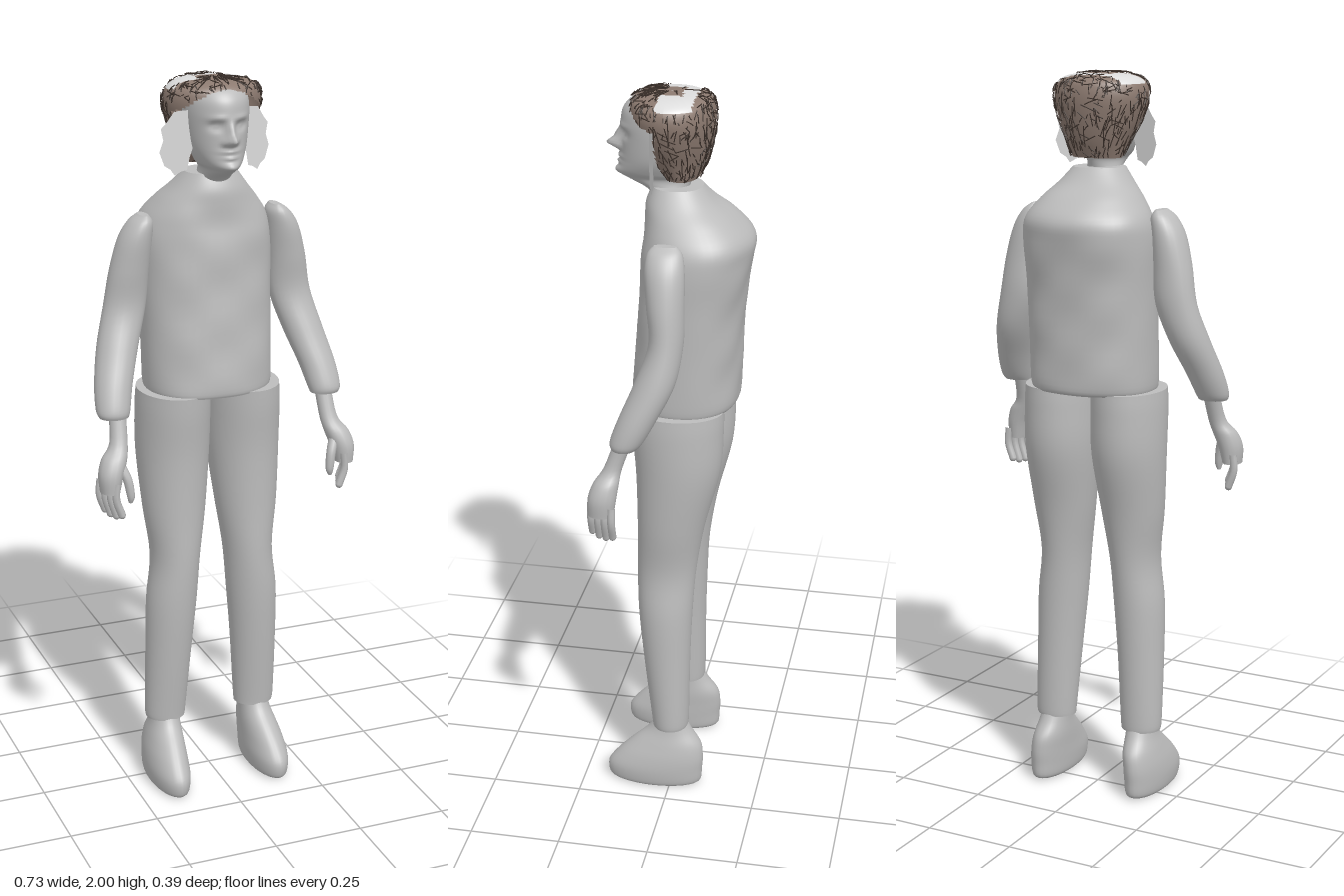
import * as THREE from 'three';
import { mergeGeometries } from 'three/addons/utils/BufferGeometryUtils.js';

const mat = (name, color, side = THREE.FrontSide) => {
  const m = new THREE.MeshStandardMaterial({ color, side });
  m.name = name;
  return m;
};

let seed = 7;
const rand = () => (seed = (seed * 16807) % 2147483647) / 2147483647;
const bump = (d, w) => Math.exp(-(d * d) / (w * w));

// Smoothly interpolated cross-section rows [y, centreX, radiusX, centreZ, radiusZ]
function sampler(rows) {
  const n = rows.length - 1;
  return (v) => {
    const i = Math.min(Math.floor(v * n), n - 1), t = v * n - i;
    const at = (k) => rows[Math.max(0, Math.min(n, k))];
    return rows[0].map((_, c) => {
      const [p, q, r, s] = [at(i - 1)[c], at(i)[c], at(i + 1)[c], at(i + 2)[c]];
      return q + 0.5 * t * (r - p + t * (2 * p - 5 * q + 4 * r - s + t * (3 * (q - r) + s - p)));
    });
  };
}
function ringPoint([y, cx, rx, cz, rz], a, power = 1) {
  const f = (w) => Math.sign(w) * Math.pow(Math.abs(w), power);
  return [cx + rx * f(Math.cos(a)), y, cz + rz * f(Math.sin(a))];
}

// Closed body through the rows, with flat ends and an optional sculpting rule
function loft(rows, { seg = 32, steps = 5, power = 1, sculpt } = {}) {
  const at = sampler(rows), m = (rows.length - 1) * steps, pos = [], idx = [];
  for (let i = 0; i <= m; i++) {
    const row = at(i / m);
    for (let j = 0; j < seg; j++) {
      const p = ringPoint(row, (j / seg) * Math.PI * 2, power);
      pos.push(...(sculpt ? sculpt(p) : p));
    }
  }
  for (let i = 0; i < m; i++) for (let j = 0; j < seg; j++) {
    const k = (j + 1) % seg, a = i * seg + j, b = i * seg + k;
    idx.push(a, a + seg, b, b, a + seg, b + seg);
  }
  for (const [i, top] of [[0, false], [m, true]]) {
    const start = pos.length / 3, [y, cx, , cz] = at(i / m);
    pos.push(...pos.slice(i * seg * 3, (i + 1) * seg * 3), cx, y, cz);
    for (let j = 0; j < seg; j++) {
      const a = start + j, b = start + ((j + 1) % seg);
      idx.push(...(top ? [a, start + seg, b] : [b, start + seg, a]));
    }
  }
  return surface(pos, idx);
}
function surface(pos, idx) {
  const g = new THREE.BufferGeometry();
  g.setAttribute('position', new THREE.Float32BufferAttribute(pos, 3));
  g.setIndex(idx);
  g.computeVertexNormals();
  return g;
}
const tube = (points, r, seg = 8, radial = 8) => new THREE.TubeGeometry(
  new THREE.CatmullRomCurve3(points.map((p) => new THREE.Vector3(...p))), seg, r, radial);

export function createModel() {
  const model = new THREE.Group();
  const grey = mat('body grey', 0xbcbcbc);
  const light = mat('light grey', 0xdcdcdc, THREE.DoubleSide);
  const brown = mat('hair brown', 0x8c7a70, THREE.DoubleSide);
  const dark = mat('strand dark brown', 0x3e332d);
  const add = (name, geo, material = grey) => {
    const mesh = new THREE.Mesh(geo, material);
    mesh.name = name;
    model.add(mesh);
    return mesh;
  };

  // Torso, lightly creased
  add('torso', loft([
    [1.155, 0, 0.17, -0.015, 0.138], [1.18, 0, 0.176, -0.018, 0.145],
    [1.3, 0, 0.178, -0.024, 0.142], [1.45, 0, 0.18, -0.034, 0.14],
    [1.56, 0, 0.182, -0.045, 0.146], [1.62, 0, 0.172, -0.05, 0.143],
    [1.67, 0, 0.138, -0.03, 0.12], [1.71, 0, 0.102, -0.005, 0.092],
    [1.75, 0, 0.07, 0.008, 0.066]],
  { seg: 48, power: 0.9, sculpt: ([x, y, z]) =>
    [x, y, z + 0.0025 * Math.sin(38 * y + 9 * x) * Math.cos(30 * x)] }));

  // Head and neck with sculpted face
  add('head', loft([
    [1.67, 0, 0.055, 0.035, 0.05], [1.73, 0, 0.046, 0.03, 0.05],
    [1.765, 0, 0.042, 0.055, 0.085], [1.785, 0, 0.056, 0.06, 0.1],
    [1.82, 0, 0.072, 0.052, 0.103], [1.87, 0, 0.081, 0.045, 0.108],
    [1.92, 0, 0.084, 0.043, 0.112], [1.955, 0, 0.079, 0.043, 0.102],
    [1.98, 0, 0.06, 0.038, 0.075], [1.99, 0, 0.01, 0.035, 0.012]],
  { seg: 80, steps: 9, sculpt: ([x, y, z]) => {
    if (z < 0.08) return [x, y, z];
    const ax = Math.abs(x);
    z += 0.038 * bump(x, 0.013) * bump(y - 1.851, 0.014)            // nose tip
      + 0.018 * bump(x, 0.010) * bump(y - 1.875, 0.02)              // nose bridge
      + 0.010 * bump(ax - 0.016, 0.008) * bump(y - 1.846, 0.008)    // nostrils
      - 0.014 * bump(ax - 0.033, 0.017) * bump(y - 1.886, 0.012)    // eye sockets
      + 0.007 * bump(ax - 0.033, 0.009) * bump(y - 1.885, 0.006)    // eyes
      + 0.005 * bump(ax - 0.032, 0.022) * bump(y - 1.906, 0.008)    // brows
      + 0.010 * bump(x, 0.024) * bump(y - 1.822, 0.006)             // upper lip
      + 0.009 * bump(x, 0.020) * bump(y - 1.807, 0.006)             // lower lip
      + 0.014 * bump(x, 0.024) * bump(y - 1.78, 0.014);             // chin
    return [x, y, z];
  } }));

  for (const s of [1, -1]) {
    const side = s > 0 ? 'left' : 'right';
    const mirror = (rows) => rows.map(([y, x, ...rest]) => [y, x * s, ...rest]);

    // Trouser leg
    add(side + 'Leg', loft(mirror([
      [0.185, 0.135, 0.056, 0.004, 0.05], [0.22, 0.135, 0.059, 0.005, 0.053],
      [0.4, 0.128, 0.065, 0.015, 0.065], [0.55, 0.12, 0.07, 0.02, 0.075],
      [0.68, 0.108, 0.068, 0.018, 0.082], [0.82, 0.106, 0.086, 0.006, 0.093],
      [0.98, 0.103, 0.099, -0.012, 0.115], [1.1, 0.102, 0.1, -0.01, 0.125],
      [1.16, 0.101, 0.097, -0.008, 0.127]])));

    // Foot
    add(side + 'Foot', loft(mirror([
      [0, 0.15, 0.042, 0.048, 0.115], [0.012, 0.15, 0.052, 0.047, 0.133],
      [0.05, 0.15, 0.056, 0.046, 0.136], [0.09, 0.148, 0.054, 0.03, 0.122],
      [0.13, 0.143, 0.049, 0.013, 0.098], [0.17, 0.138, 0.042, 0.005, 0.062],
      [0.21, 0.135, 0.038, 0.004, 0.04]])));

    // Sleeve
    add(side + 'Sleeve', loft(mirror([
      [1.13, 0.303, 0.04, 0.092, 0.034], [1.15, 0.303, 0.046, 0.085, 0.044],
      [1.21, 0.292, 0.051, 0.058, 0.05], [1.3, 0.266, 0.056, 0.018, 0.053],
      [1.4, 0.237, 0.058, -0.006, 0.045], [1.5, 0.224, 0.053, -0.002, 0.049],
      [1.58, 0.209, 0.045, 0.003, 0.052], [1.625, 0.194, 0.032, 0.005, 0.046],
      [1.645, 0.186, 0.012, 0.005, 0.03]]), { seg: 24 }));

    // Hand: palm, four fingers and a thumb
    add(side + 'Palm', loft(mirror([
      [0.945, 0.337, 0.026, 0.15, 0.034], [0.99, 0.333, 0.033, 0.147, 0.038],
      [1.03, 0.32, 0.034, 0.138, 0.034], [1.07, 0.302, 0.024, 0.122, 0.024],
      [1.16, 0.295, 0.023, 0.09, 0.024]]), { seg: 16 }));
    for (let i = 0; i < 4; i++) {
      const x = 0.353 - i * 0.009, z = 0.118 + i * 0.02;
      const tip = 0.885 - 0.008 * Math.sin((i / 3) * Math.PI);
      add(side + 'Finger' + (i + 1), tube(
        [[s * x, 0.975, z], [s * (x + 0.003), 0.93, z], [s * (x - 0.012), tip, z]], 0.0105));
      const end = add(side + 'Fingertip' + (i + 1), new THREE.SphereGeometry(0.0105, 8, 6));
      end.position.set(s * (x - 0.012), tip, z);
    }
    add(side + 'Thumb', loft(mirror([
      [0.915, 0.288, 0.005, 0.172, 0.006], [0.935, 0.287, 0.011, 0.172, 0.012],
      [0.98, 0.294, 0.013, 0.166, 0.014], [1.02, 0.31, 0.014, 0.15, 0.014]]), { seg: 10 }));

    // Ragged sheet beside the face
    const outline = [[0.07, 1.92], [0.115, 1.915], [0.135, 1.885], [0.148, 1.87], [0.142, 1.84],
      [0.152, 1.81], [0.14, 1.775], [0.125, 1.765], [0.115, 1.75], [0.1, 1.76],
      [0.085, 1.765], [0.078, 1.8], [0.068, 1.83]];
    const flap = new THREE.ShapeGeometry(new THREE.Shape(
      outline.map(([x, y]) => new THREE.Vector2(s * x, y))));
    const p = flap.attributes.position;
    for (let i = 0; i < p.count; i++) p.setZ(i, 0.07 - 0.35 * (Math.abs(p.getX(i)) - 0.07));
    flap.computeVertexNormals();
    add(side + 'FaceFlap', flap, light);
  }

  // Hair cap: one dome divided into brown hair and a bare crown
  const cap = sampler([
    [1.775, 0, 0.07, -0.005, 0.045], [1.82, 0, 0.088, 0.005, 0.075],
    [1.87, 0, 0.112, 0.015, 0.098], [1.92, 0, 0.128, 0.02, 0.11],
    [1.955, 0, 0.127, 0.022, 0.11], [1.977, 0, 0.112, 0.022, 0.1],
    [1.99, 0, 0.075, 0.022, 0.07], [1.995, 0, 0.002, 0.022, 0.002]]);
  const capPoint = (a, v, lift = 0) => {
    const [y, cx, rx, cz, rz] = cap(v);
    return ringPoint([y + lift * v, cx, rx + lift, cz, rz + lift], a);
  };
  const zone = ([x, y, z]) => {
    if (z > 0.05 && y < 1.972 - 4 * x * x) return 'none';
    const bare = y > 1.968 && z > -0.045 && z < 0.045 && !(Math.abs(x) < 0.04 && z > -0.01);
    return bare ? 'crown' : 'hair';
  };
  const seg = 72, rings = 48, pos = [], faces = { hair: [], crown: [], none: [] };
  for (let i = 0; i <= rings; i++) for (let j = 0; j <= seg; j++)
    pos.push(...capPoint((j / seg) * Math.PI * 2, i / rings));
  for (let i = 0; i < rings; i++) for (let j = 0; j < seg; j++) {
    const a = i * (seg + 1) + j, c = a + seg + 1;
    const kind = zone(capPoint(((j + 0.5) / seg) * Math.PI * 2, (i + 0.5) / rings));
    faces[kind].push(a, c, a + 1, a + 1, c, c + 1);
  }
  add('hair', surface(pos, faces.hair), brown);
  add('crown', surface(pos, faces.crown), light);

  // Crossing strands lying over the hair
  const strands = [];
  for (let k = 0; k < 1100 && strands.length < 480; k++) {
    const a = rand() * Math.PI * 2, v = rand() * 0.93, upright = rand() < 0.6;
    const da = (rand() - 0.5) * (upright ? 0.2 : 0.7), dv = (upright ? 0.14 : 0.04) * rand() + 0.02;
    const pts = [0, 0.5, 1].map((t) => capPoint(a + da * t, Math.min(0.97, v + dv * t), 0.002 + 0.003 * rand()));
    if (pts.every((q) => zone(q) === 'hair')) strands.push(tube(pts, 0.0016, 3, 3));
  }
  add('hairStrands', mergeGeometries(strands), dark);

  return model;
}
